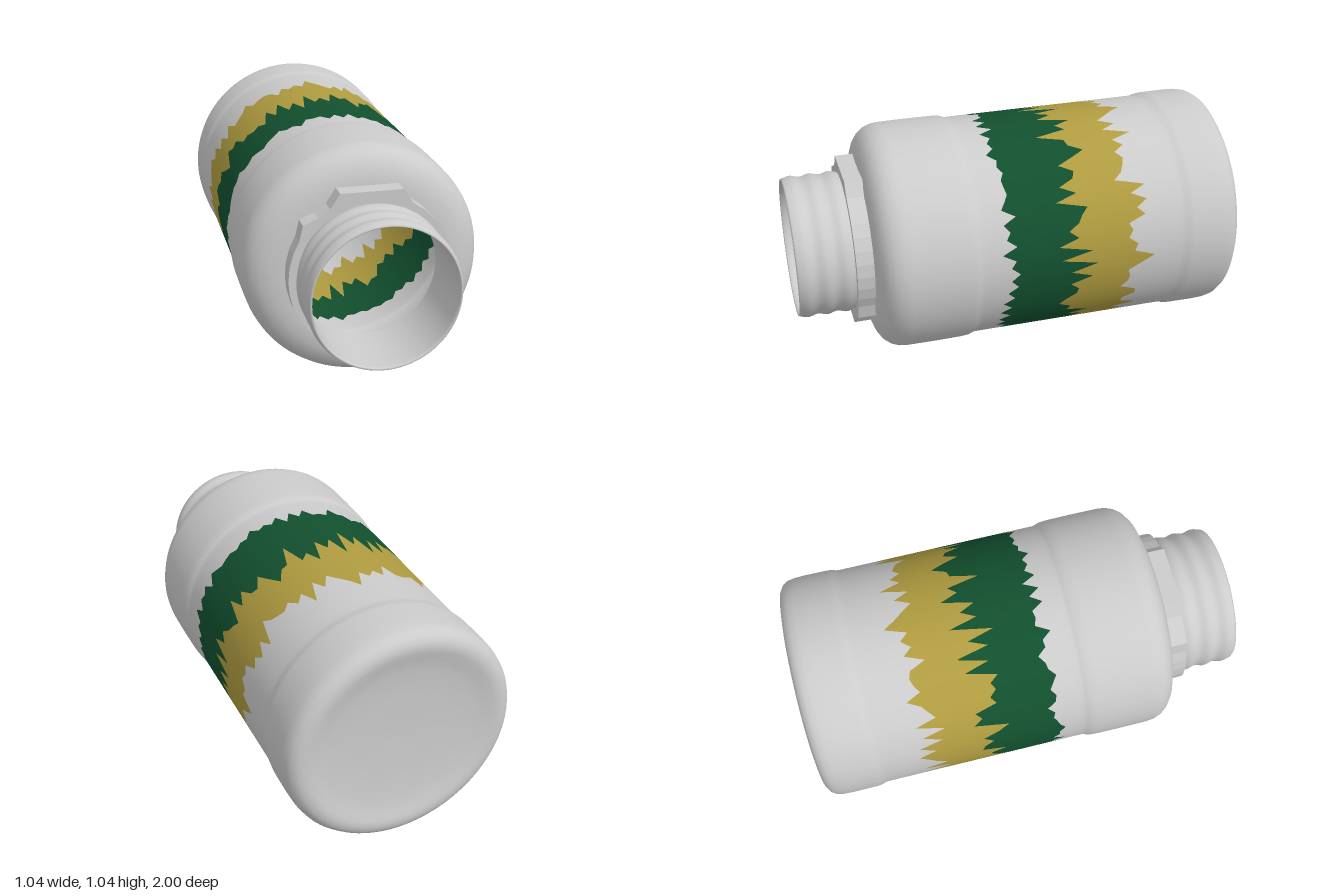
import * as THREE from 'three';

const AXIS_Y = 0.523;   // height of the bottle axis
const SEG = 96;
const WAIST = 0.508;    // radius of the painted middle section

const paint = (color) => new THREE.MeshStandardMaterial({ color, side: THREE.DoubleSide });

// Small seeded generator for the ragged paint edges
function seeded(seed) {
  let s = seed;
  return () => (s = (s * 16807) % 2147483647) / 2147483647;
}

// Surface of revolution about z from [radius, z] pairs
function turned(name, profile, material) {
  const geo = new THREE.LatheGeometry(profile.map(([r, z]) => new THREE.Vector2(r, z)), SEG);
  geo.rotateX(Math.PI / 2);
  const mesh = new THREE.Mesh(geo, material);
  mesh.name = name;
  return mesh;
}

// Closed edge line around the waist: one z per step, jittered by `spread`
function edge(z, spread, seed) {
  const rnd = seeded(seed);
  const line = Array.from({ length: SEG }, (_, i) =>
    z + spread * ((i % 2 ? 0.3 : -0.3) + (rnd() - 0.5) * 1.4));
  return [...line, line[0]];
}

// Cylindrical strip between two edge lines
function band(name, back, front, material) {
  const pos = [], nor = [], idx = [];
  for (let i = 0; i <= SEG; i++) {
    const a = (i / SEG) * Math.PI * 2;
    const c = Math.cos(a), s = Math.sin(a);
    for (const z of [back[i], front[i]]) {
      pos.push(c * WAIST, s * WAIST, z);
      nor.push(c, s, 0);
    }
    if (i < SEG) {
      const k = i * 2;
      idx.push(k, k + 2, k + 1, k + 1, k + 2, k + 3);
    }
  }
  const geo = new THREE.BufferGeometry();
  geo.setAttribute('position', new THREE.Float32BufferAttribute(pos, 3));
  geo.setAttribute('normal', new THREE.Float32BufferAttribute(nor, 3));
  geo.setIndex(idx);
  const mesh = new THREE.Mesh(geo, material);
  mesh.name = name;
  return mesh;
}

// Collar with flat tabs at top and bottom and a small ear on each side
function makeCollar(material) {
  const polar = [];
  for (let d = 0; d < 360; d += 10) {
    let r = 0.352;
    if (d >= 70 && d <= 110 || d >= 250 && d <= 290) {
      r = 0.368 / Math.abs(Math.sin(d * Math.PI / 180));
    }
    if (d === 140 || d === 320) r = 0.378;
    polar.push(new THREE.Vector2(r, 0).rotateAround(new THREE.Vector2(), d * Math.PI / 180));
  }
  const shape = new THREE.Shape(polar);
  shape.holes.push(new THREE.Path().absarc(0, 0, 0.315, 0, Math.PI * 2, true));
  const geo = new THREE.ExtrudeGeometry(shape, { depth: 0.085, bevelEnabled: false, curveSegments: 32 });
  geo.translate(0, 0, 0.66);
  const mesh = new THREE.Mesh(geo, material);
  mesh.name = 'collar';
  return mesh;
}

export function createModel() {
  const bottle = new THREE.Group();
  bottle.name = 'bottle';
  bottle.position.y = AXIS_Y;

  const grey = paint(0xcccccc);
  const green = paint(0x12502f);
  const yellow = paint(0xb09c40);

  // Dished base with rounded rim, stepping in to the waist
  bottle.add(turned('base', [
    [0, -0.962], [0.2, -0.966], [0.33, -0.975], [0.39, -0.988], [0.425, -0.998], [0.45, -1],
    [0.475, -0.996], [0.497, -0.982], [0.511, -0.96], [0.517, -0.93], [0.519, -0.88],
    [0.518, -0.77], [0.515, -0.745], [0.509, -0.73], [WAIST, -0.71], [WAIST, -0.68],
  ], grey));

  // Painted waist: grey, yellow, green, grey with ragged edges
  const flat = (z) => edge(z, 0, 1);
  const edges = [flat(-0.68), edge(-0.49, 0.09, 71), edge(-0.21, 0.1, 523), edge(0.09, 0.04, 907), flat(0.19)];
  const bands = [['rearWaist', grey], ['yellowBand', yellow], ['greenBand', green], ['frontWaist', grey]];
  bands.forEach(([name, material], i) => bottle.add(band(name, edges[i], edges[i + 1], material)));

  // Shoulder stepping out from the waist and rounding in to the neck
  bottle.add(turned('shoulder', [
    [WAIST, 0.19], [WAIST, 0.215], [0.511, 0.228], [0.518, 0.245], [0.521, 0.28], [0.522, 0.4],
    [0.521, 0.53], [0.517, 0.565], [0.505, 0.597], [0.485, 0.623], [0.455, 0.645],
    [0.415, 0.66], [0.37, 0.667], [0.305, 0.67],
  ], grey));

  bottle.add(makeCollar(grey));

  // Neck with soft thread ridges, rolled lip and inner wall
  const neck = [];
  for (let i = 0; i <= 24; i++) {
    const t = i / 24;
    neck.push([0.32 + 0.005 * Math.sin(t * Math.PI * 7), 0.67 + t * 0.31]);
  }
  neck.push([0.317, 0.993], [0.312, 1], [0.307, 0.996], [0.304, 0.98], [0.304, 0.67]);
  bottle.add(turned('neck', neck, grey));

  const model = new THREE.Group();
  model.name = 'model';
  model.add(bottle);
  return model;
}
